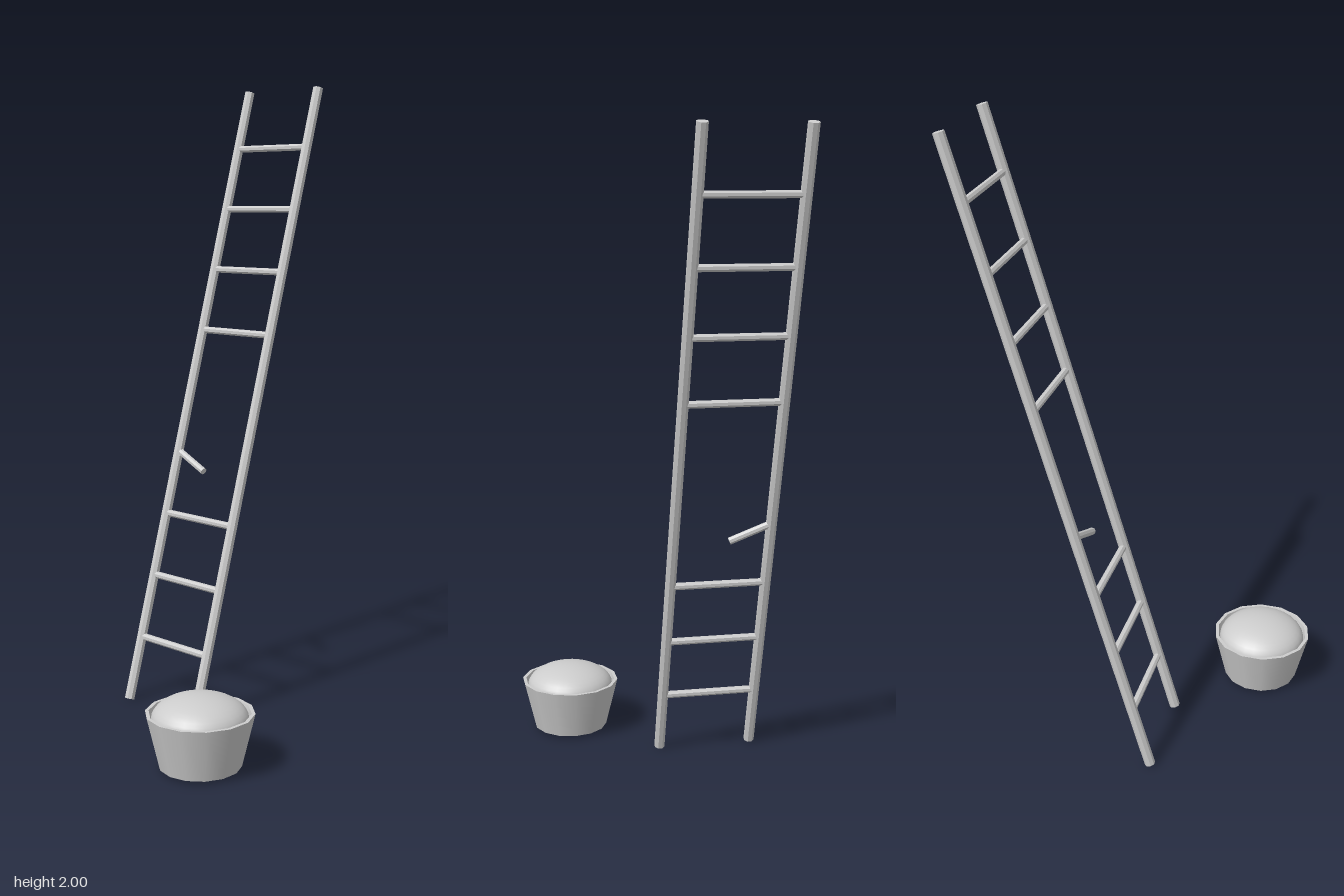
import * as THREE from 'three';

export function createModel() {
  const group = new THREE.Group();
  const grey = new THREE.MeshStandardMaterial({ color: 0xcccccc });
  grey.name = 'paleGrey';

  const add = (name, geometry) => {
    const mesh = new THREE.Mesh(geometry, grey);
    mesh.name = name;
    group.add(mesh);
    return mesh;
  };

  // Faceted eight-sided pole between two points
  const pole = (name, a, b, radius) => {
    const dir = b.clone().sub(a);
    const geo = new THREE.CylinderGeometry(radius, radius, dir.length(), 8)
      .rotateY(Math.PI / 8).toNonIndexed();
    geo.computeVertexNormals();
    const mesh = add(name, geo);
    mesh.position.copy(a).add(b).multiplyScalar(0.5);
    mesh.quaternion.setFromUnitVectors(new THREE.Vector3(0, 1, 0), dir.normalize());
  };

  // Point on the leaning plane of the ladder
  const onLadder = (x, y) => new THREE.Vector3(x, y, 0.095 - 0.289 * y);
  const leftX = -0.052, rightX = -0.355;

  // Rails
  pole('leftRail', onLadder(leftX, 0.005), onLadder(leftX, 1.995), 0.017);
  pole('rightRail', onLadder(rightX, 0.005), onLadder(rightX, 1.995), 0.017);

  // Whole rungs, with a gap where two are missing
  for (const y of [0.205, 0.405, 0.605, 1.205, 1.405, 1.605, 1.805]) {
    pole('rung', onLadder(rightX, y), onLadder(leftX, y), 0.0115);
  }

  // Stub of the broken rung
  pole('brokenRung', onLadder(rightX, 0.808), new THREE.Vector3(-0.226, 0.755, -0.126), 0.0115);

  // Bucket: outer wall, rim and inner wall, each with its own smooth normals
  const sides = 14, cx = 0.212, cz = 0.33;
  const ring = (name, points) => {
    const mesh = add(name, new THREE.LatheGeometry(points.map(p => new THREE.Vector2(...p)), sides));
    mesh.position.set(cx, 0, cz);
  };
  ring('bucketBase', [[0, 0.01], [0.122, 0.01]]);
  ring('bucketWall', [[0.122, 0.01], [0.161, 0.17]]);
  ring('bucketRim', [[0.161, 0.17], [0.15, 0.17]]);
  ring('bucketInside', [[0.15, 0.17], [0.137, 0.12]]);

  // Heaped contents
  const heap = add('heap', new THREE.SphereGeometry(0.143, 28, 10, 0, Math.PI * 2, 0, Math.PI / 2));
  heap.scale.y = 0.5;
  heap.position.set(cx, 0.15, cz);

  return group;
}
